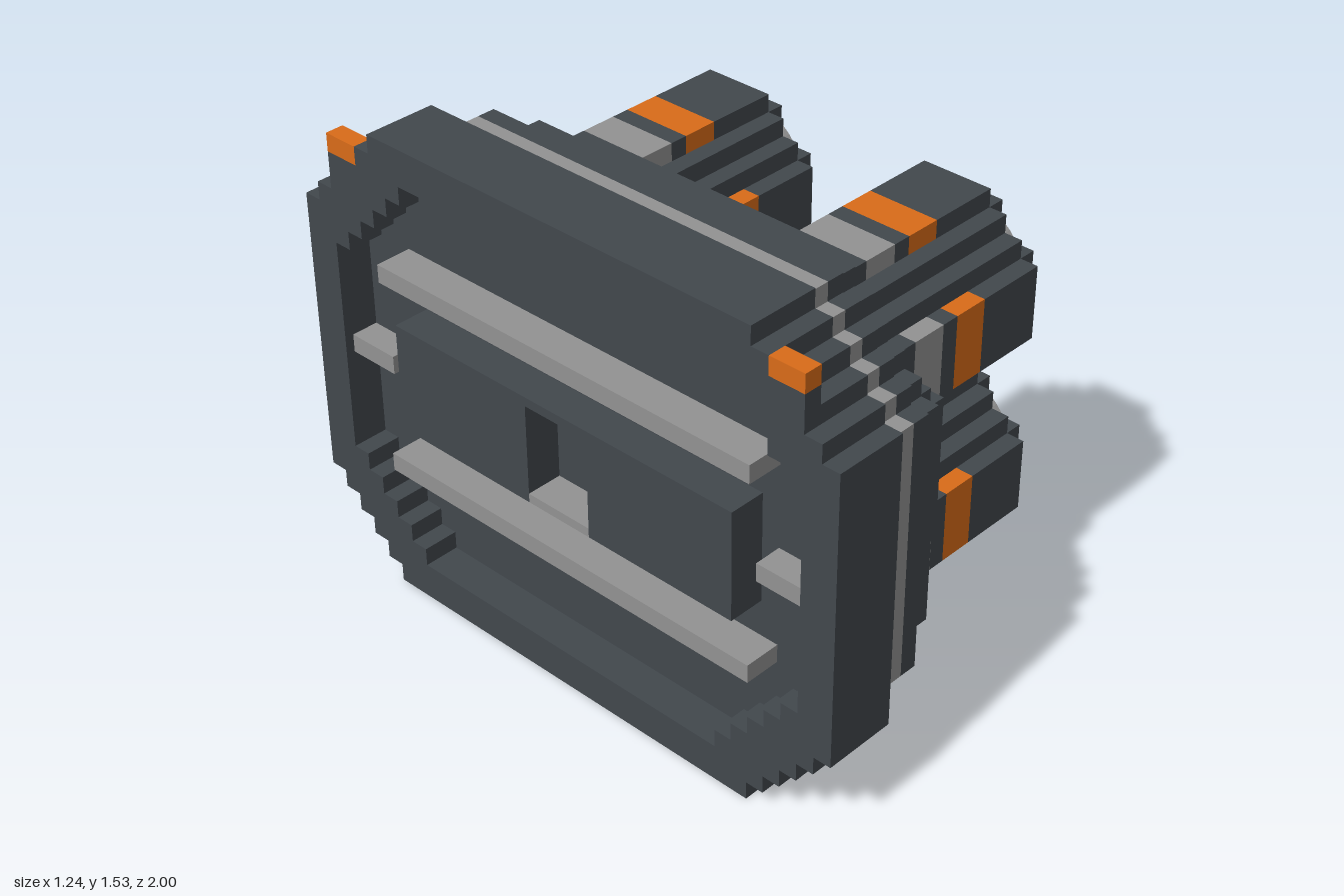
import * as THREE from 'three';

const U = 2 / 34; // one block
const MID = 13;   // height of the hull axis, in blocks

export function createModel() {
  const dark = new THREE.MeshStandardMaterial({ name: 'dark hull', color: 0x42484d });
  const gray = new THREE.MeshStandardMaterial({ name: 'light metal', color: 0x939393 });
  const orange = new THREE.MeshStandardMaterial({ name: 'orange marking', color: 0xda6c19 });

  const root = new THREE.Group();
  root.name = 'engineBlock';
  const blocks = new THREE.Group(); // everything inside is measured in blocks
  blocks.name = 'blocks';
  blocks.scale.setScalar(U);
  blocks.position.x = -10.5 * U;
  root.add(blocks);

  // Mirror one quarter of an outline into all four
  function mirrored(quarter) {
    const back = [...quarter].reverse();
    const flip = (list, sz, sy) => list.map(([z, y]) => new THREE.Vector2(z * sz, y * sy));
    return [...flip(quarter, 1, 1), ...flip(back, -1, 1), ...flip(quarter, -1, -1), ...flip(back, 1, -1)];
  }

  // Rectangle with corners cut in one-block stairs
  function stepped(hz, hy, cut) {
    const quarter = [];
    for (let i = 0; i <= cut; i++) {
      quarter.push([hz - i, hy - cut + i]);
      if (i < cut) quarter.push([hz - i - 1, hy - cut + i]);
    }
    return mirrored(quarter);
  }

  // Slice of an outline from x0 to x1, optionally hollow
  function slice(name, parent, mat, x0, x1, outer, inner, y = MID) {
    const shape = new THREE.Shape(outer);
    if (inner) shape.holes.push(new THREE.Path(inner));
    const geo = new THREE.ExtrudeGeometry(shape, { depth: x1 - x0, bevelEnabled: false });
    geo.rotateY(Math.PI / 2);
    const mesh = new THREE.Mesh(geo, mat);
    mesh.name = name;
    mesh.position.set(x0, y, 0);
    parent.add(mesh);
  }

  function box(name, parent, mat, x0, x1, y0, y1, z0, z1) {
    const mesh = new THREE.Mesh(new THREE.BoxGeometry(x1 - x0, y1 - y0, Math.abs(z1 - z0)), mat);
    mesh.name = name;
    mesh.position.set((x0 + x1) / 2, (y0 + y1) / 2, (z0 + z1) / 2);
    parent.add(mesh);
  }

  // Hull: hollow back rim, then ever smaller steps
  slice('backRim', blocks, dark, 0, 2, stepped(17, 13, 5), stepped(15, 11, 5));
  slice('backPlate', blocks, dark, 2, 4, stepped(17, 13, 5));
  slice('hullBand', blocks, gray, 4, 6, stepped(16, 12, 5));
  const steps = [
    [6, 7, 16, 12, 5], [7, 9, 15, 11, 5], [9, 10, 14, 10, 5],
    [10, 11, 13, 10, 5], [11, 12, 13, 9, 5], [12, 13, 12, 7, 4],
  ];
  for (const [x0, x1, ...outline] of steps) slice('hullStep', blocks, dark, x0, x1, stepped(...outline));

  // Fittings in the back recess, and the corner lights
  for (const s of [-1, 1]) {
    const y = MID + s * 5.5;
    box('recessBar', blocks, gray, 0, 2, y - 0.5, y + 0.5, -12, 12);
    box('recessTab', blocks, gray, 0.5, 2, 12.5, 13.5, s * 12, s * 15);
    box('housingSide', blocks, dark, 0, 2, 10, 16, s * 2, s * 11);
    box('cornerBracket', blocks, dark, 0, 1, 22, 24, s * 12, s * 15);
    box('cornerLight', blocks, orange, 0, 1, 24, 25, s * 13, s * 15);
  }
  box('housingLip', blocks, dark, 0, 2, 15.5, 16, -2, 2);
  box('housingFloor', blocks, gray, 0, 2, 10, 10.5, -2, 2);

  // Small vents along the lower edge and round ones on the underside
  const disc = new THREE.CylinderGeometry(0.45, 0.45, 0.04, 8);
  for (const s of [-1, 1]) for (let i = 1; i <= 7; i += 2) {
    const z = s * (i + 0.5);
    box('edgeVent', blocks, gray, 4, 4.04, 0.02, 1, z - 0.5, z + 0.5);
    for (const [x, y] of [[2.3, 0], [8, 2]]) {
      const vent = new THREE.Mesh(disc, gray);
      vent.name = 'undersideVent';
      vent.position.set(x, y, z);
      blocks.add(vent);
    }
  }

  // Blocks on the four sides of a thruster, between radii r0 and r1
  function fourSides(name, parent, mat, x0, x1, r0, r1) {
    for (const s of [-1, 1]) {
      box(name, parent, mat, x0, x1, Math.min(s * r0, s * r1), Math.max(s * r0, s * r1), -2, 2);
      box(name, parent, mat, x0, x1, -2, 2, s * r0, s * r1);
    }
  }

  // Four thrusters
  const core = stepped(4, 4, 1), bore = stepped(2, 2, 0);
  const nozzle = mirrored([[3, 2], [2.55, 2.55], [2, 3]]);
  for (const sy of [-1, 1]) for (const sz of [-1, 1]) {
    const t = new THREE.Group();
    t.name = 'thruster';
    t.position.set(0, MID + sy * 5, sz * 7);
    blocks.add(t);
    slice('thrusterBody', t, dark, 9, 18, core, null, 0);
    slice('thrusterMouth', t, dark, 18, 20, core, bore, 0);
    slice('nozzleFloor', t, gray, 18, 18.1, bore, null, 0);
    slice('nozzleRing', t, gray, 20, 21, nozzle, bore, 0);
    fourSides('nozzleTab', t, dark, 20, 21, 3, 4);
    // side ribs, coloured along their length
    fourSides('rearRib', t, dark, 9, 11, 4, 5);
    box('grayPanel', t, gray, 11, 13, sy * 4.5 - 0.5, sy * 4.5 + 0.5, -2, 2);
    box('grayPanel', t, gray, 11, 13, -2, 2, sz * 4, sz * 5);
    box('innerRib', t, dark, 11, 13, -sy * 4.5 - 0.5, -sy * 4.5 + 0.5, -2, 2);
    box('innerRib', t, dark, 11, 13, -2, 2, -sz * 4, -sz * 5);
    fourSides('middleRib', t, dark, 13, 14, 4, 5);
    fourSides('orangePanel', t, orange, 14, 16, 4, 5);
    fourSides('frontRib', t, dark, 16, 20, 4, 5);
  }
  return root;
}
